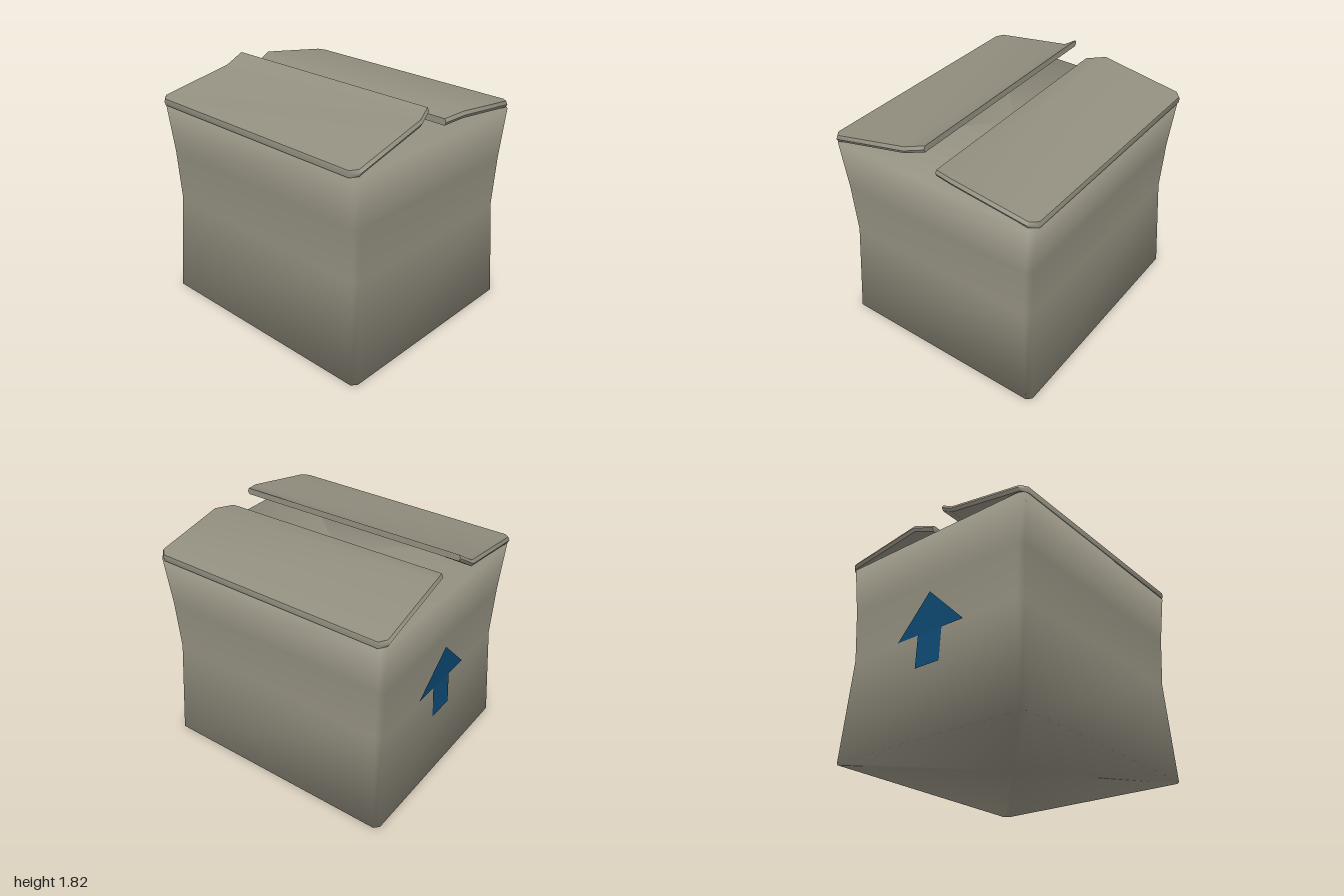
import * as THREE from 'three';
import { toCreasedNormals } from 'three/addons/utils/BufferGeometryUtils.js';

const cardboard = new THREE.MeshStandardMaterial({ color: 0x938f80 });
cardboard.name = 'cardboard';
const arrowBlue = new THREE.MeshStandardMaterial({ color: 0x0d4a74, side: THREE.DoubleSide });
arrowBlue.name = 'arrowBlue';

// Skin a list of equal-length rings of [x, y, z] and close both ends with fans.
// Rings run counter-clockwise seen from the end of the loft.
function loft(rings, startCentre, endCentre) {
  const n = rings[0].length, last = (rings.length - 1) * n;
  const points = [...rings.flat(), startCentre, endCentre];
  const start = rings.length * n, end = start + 1, index = [];
  for (let i = 0; i < n; i++) {
    const j = (i + 1) % n;
    for (let r = 0; r < last; r += n) {
      index.push(r + i, r + j, r + n + j, r + i, r + n + j, r + n + i);
    }
    index.push(start, j, i, end, last + i, last + j);
  }
  const geometry = new THREE.BufferGeometry();
  geometry.setAttribute('position', new THREE.Float32BufferAttribute(points.flat(), 3));
  geometry.setIndex(index);
  geometry.computeVertexNormals();
  return geometry;
}

function addMesh(parent, name, geometry, material) {
  const mesh = new THREE.Mesh(geometry, material);
  mesh.name = name;
  parent.add(mesh);
}

// Body outline with clipped corners, pinched at half height
function bodyRing([y, w, d]) {
  const c = 0.035;
  return [
    [w, y, d - c], [w, y, -d + c], [w - c, y, -d], [-w + c, y, -d],
    [-w, y, -d + c], [-w, y, d - c], [-w + c, y, d], [w - c, y, d],
  ];
}

// Bent slab from stations along x: back [x, y, z] and front [x, y, z] of its top
function flap(stations) {
  const t = 0.05, e = 0.014;
  const rings = stations.map(([b, f]) => [
    [b[0], b[1], b[2] + e], [f[0], f[1], f[2] - e],
    [f[0], f[1] - t / 2, f[2]],
    [f[0], f[1] - t, f[2] - e], [b[0], b[1] - t, b[2] + e],
    [b[0], b[1] - t / 2, b[2]],
  ]);
  const centre = ([b, f]) => [(b[0] + f[0]) / 2, (b[1] + f[1] - t) / 2, (b[2] + f[2]) / 2];
  const geometry = loft(rings, centre(stations[0]), centre(stations[stations.length - 1]));
  return toCreasedNormals(geometry, 0.95);
}

// Flat shape wrapped onto the pinched back wall
function backDecal(corners) {
  const geometry = new THREE.ShapeGeometry(
    new THREE.Shape(corners.map(([x, y]) => new THREE.Vector2(x, y))));
  geometry.rotateY(Math.PI);
  const p = geometry.attributes.position;
  for (let i = 0; i < p.count; i++) {
    p.setZ(i, -0.942 - 0.05 * Math.abs(p.getY(i) - 0.8));
  }
  geometry.computeVertexNormals();
  return geometry;
}

export function createModel() {
  const model = new THREE.Group();
  model.name = 'cardboardBox';

  // Closed, slightly crushed body
  const levels = [[0, 0.855, 0.975], [0.8, 0.803, 0.935], [1.2, 0.818, 0.95], [1.585, 0.852, 0.972]];
  addMesh(model, 'boxBody',
    loft(levels.map(bodyRing), [0, 0.02, 0], [0, 1.58, 0]), cardboard);

  // Flap on the -x side, its back inner corner curled
  addMesh(model, 'rightFlap', flap([
    [[-0.862, 1.632, -0.94], [-0.862, 1.632, 0.93]],
    [[-0.82, 1.642, -0.985], [-0.82, 1.642, 0.978]],
    [[-0.21, 1.73, -1.0], [-0.2, 1.78, 0.958]],
    [[-0.085, 1.815, -0.962], [-0.062, 1.813, 0.905]],
  ]), cardboard);

  // Flap on the +x side, folded down along a ridge
  addMesh(model, 'leftFlap', flap([
    [[0.05, 1.718, -0.915], [0.07, 1.708, 0.955]],
    [[0.2, 1.757, -0.96], [0.23, 1.73, 0.998]],
    [[0.815, 1.642, -0.988], [0.81, 1.642, 0.972]],
    [[0.86, 1.632, -0.945], [0.858, 1.632, 0.92]],
  ]), cardboard);

  // Painted arrow on the back
  const arrow = new THREE.Group();
  arrow.name = 'backArrow';
  addMesh(arrow, 'arrowHead', backDecal([[-0.31, 0.8], [0.31, 0.8], [0, 1.11]]), arrowBlue);
  addMesh(arrow, 'arrowShaft',
    backDecal([[-0.112, 0.54], [0.112, 0.54], [0.112, 0.8], [-0.112, 0.8]]), arrowBlue);
  model.add(arrow);

  return model;
}
